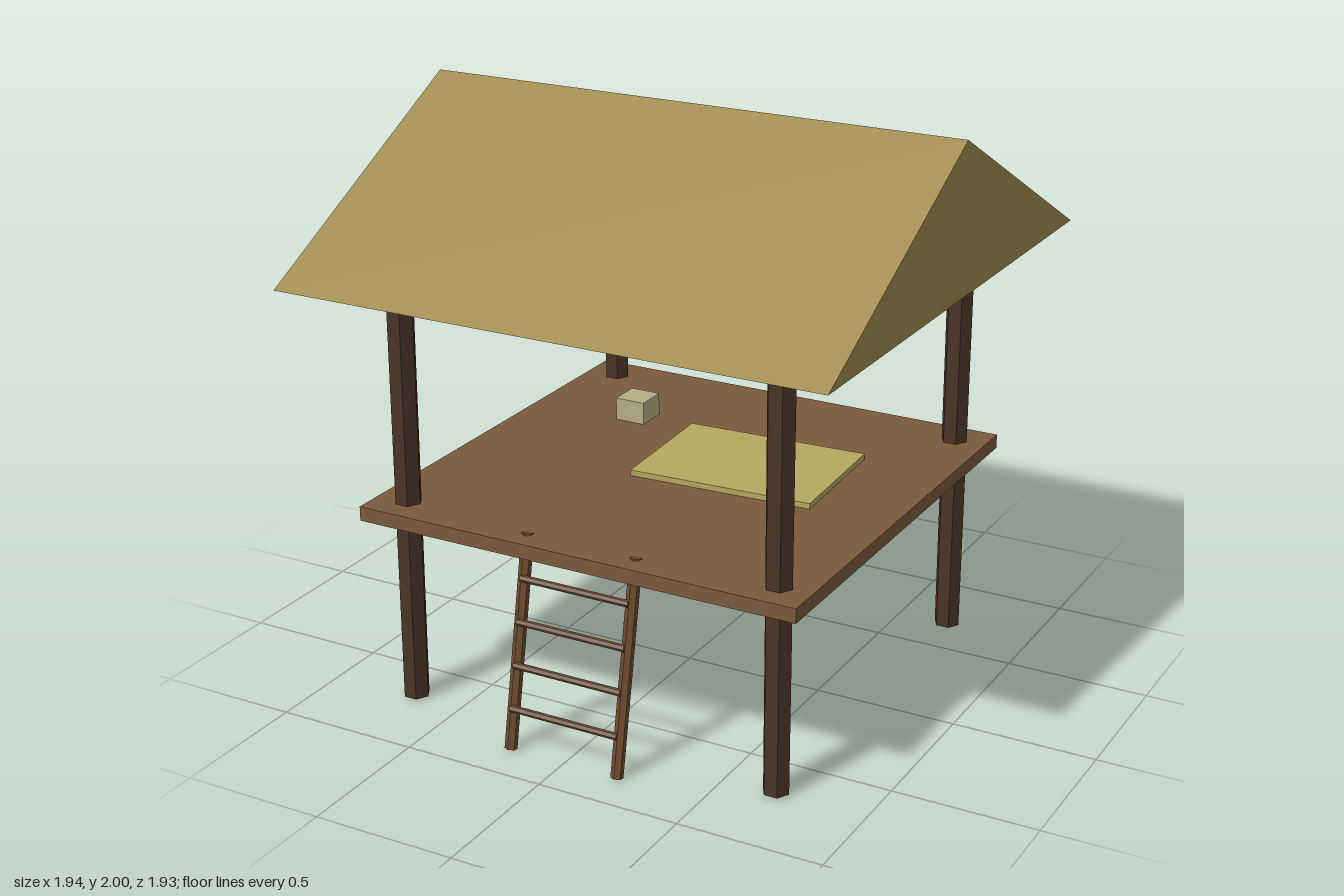
import * as THREE from 'three';

const material = (color) => new THREE.MeshStandardMaterial({ color, flatShading: true });

export function createModel() {
  const model = new THREE.Group();
  model.name = 'stiltHut';

  const thatch = material(0xa08a4e);
  const plank = material(0x7a5a3c);
  const darkWood = material(0x4a3426);
  const ladderWood = material(0x6b4a2e);
  const straw = material(0xb5a860);
  const crateWood = material(0xb8ae82);

  const add = (parent, name, geometry, mat, x, y, z) => {
    const mesh = new THREE.Mesh(geometry, mat);
    mesh.name = name;
    mesh.position.set(x, y, z);
    parent.add(mesh);
    return mesh;
  };

  // Solid gable roof, ridge running along x
  const gable = new THREE.Shape([
    new THREE.Vector2(-0.965, 1.49),
    new THREE.Vector2(0.965, 1.49),
    new THREE.Vector2(0, 2),
  ]);
  const roofGeometry = new THREE.ExtrudeGeometry(gable, { depth: 1.936, bevelEnabled: false });
  roofGeometry.translate(0, 0, -0.968).rotateY(Math.PI / 2);
  add(model, 'roof', roofGeometry, thatch, 0, 0, 0);

  // Raised floor
  add(model, 'deck', new THREE.BoxGeometry(1.6, 0.05, 1.6), plank, 0, 0.695, 0);

  // Four hexagonal posts with a corner facing x
  const postGeometry = new THREE.CylinderGeometry(0.0485, 0.046, 1.49, 6);
  postGeometry.rotateY(Math.PI / 6);
  for (const x of [-0.685, 0.685]) {
    for (const z of [-0.685, 0.685]) {
      add(model, 'post', postGeometry, darkWood, x, 0.752, z);
    }
  }

  // Ladder leaning on the front edge, its tops poking just through the deck
  const ladder = new THREE.Group();
  ladder.name = 'ladder';
  const lean = Math.atan2(0.135, 0.72);
  const railGeometry = new THREE.CylinderGeometry(0.021, 0.021, 0.73, 6);
  for (const x of [-0.2, 0.2]) {
    add(ladder, 'ladderRail', railGeometry, ladderWood, x, 0.364, 0.784).rotation.x = -lean;
  }
  const rungGeometry = new THREE.CylinderGeometry(0.012, 0.012, 0.4, 6);
  for (let i = 0; i < 4; i++) {
    const y = 0.15 + i * 0.144;
    const z = 0.852 - y * Math.tan(lean) + 0.022;
    add(ladder, 'ladderRung', rungGeometry, ladderWood, 0, y, z).rotation.z = Math.PI / 2;
  }
  model.add(ladder);

  // Sleeping mat, laid slightly askew, and a small crate
  const mat = add(model, 'sleepingMat', new THREE.BoxGeometry(0.66, 0.02, 0.48), straw, 0.167, 0.73, -0.113);
  mat.rotation.y = 0.05;
  add(model, 'crate', new THREE.BoxGeometry(0.112, 0.082, 0.115), crateWood, -0.4, 0.76, -0.343);

  return model;
}
